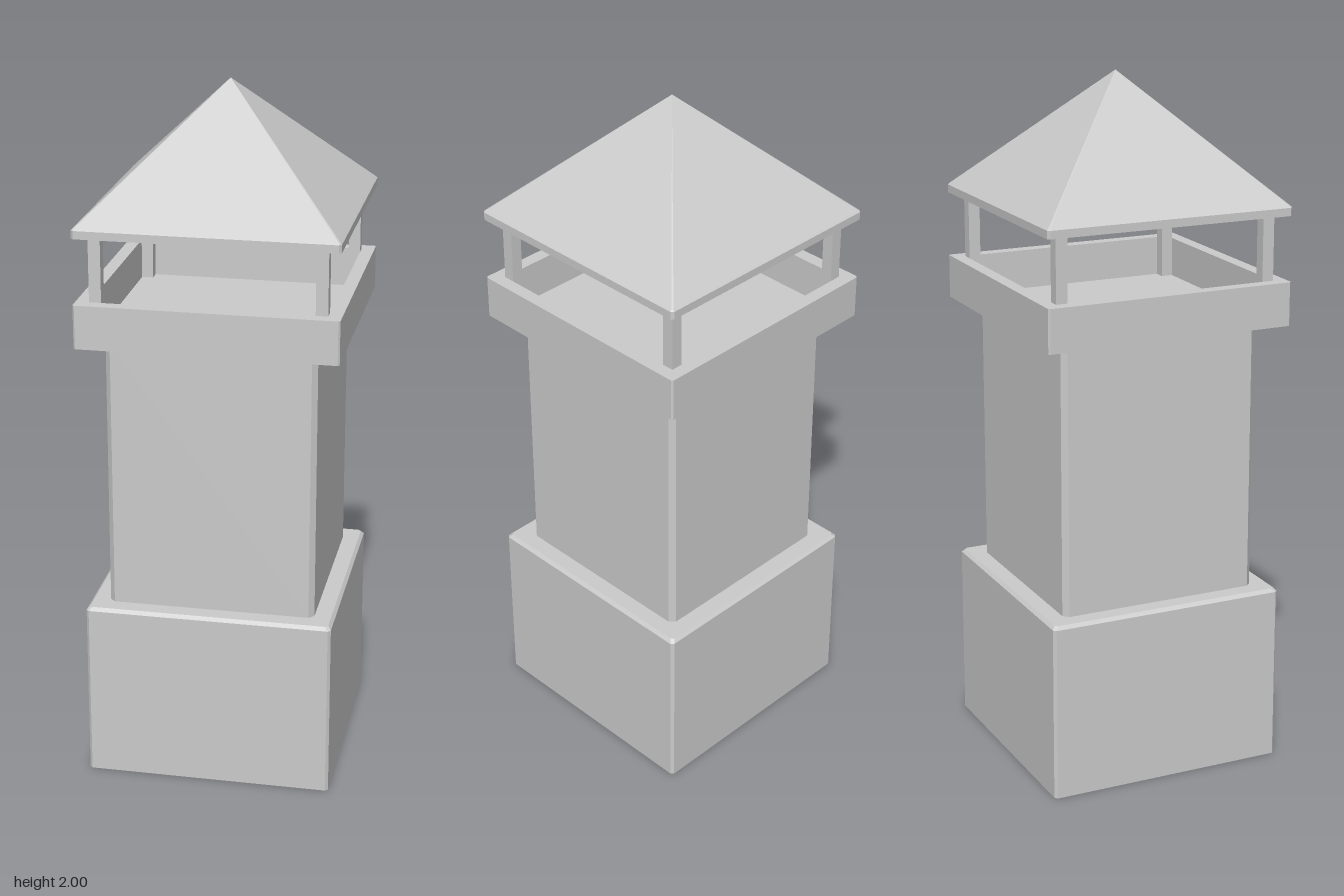
import * as THREE from 'three';

const material = new THREE.MeshStandardMaterial({ color: 0xcccccc, flatShading: true });

// Square ring with cut corners; half = 0 collapses to a point on the axis.
function ring([y, half, cut = 0]) {
  const k = half - cut;
  return [
    [half, -k], [half, k], [k, half], [-k, half],
    [-half, k], [-half, -k], [-k, -half], [k, -half],
  ].map(([x, z]) => new THREE.Vector3(x, y, z));
}

// Skin a stack of rings, skipping faces that have collapsed.
function loft(name, profile) {
  const rings = profile.map(ring);
  const points = [];
  const addTriangle = (a, b, c) => {
    if (new THREE.Triangle(a, b, c).getArea() > 1e-9) points.push(a, b, c);
  };
  for (let i = 0; i < rings.length - 1; i++) {
    for (let j = 0; j < 8; j++) {
      const n = (j + 1) % 8;
      const a = rings[i][j], b = rings[i][n], c = rings[i + 1][j], d = rings[i + 1][n];
      addTriangle(a, c, d);
      addTriangle(a, d, b);
    }
  }
  const geometry = new THREE.BufferGeometry().setFromPoints(points);
  geometry.computeVertexNormals();
  const mesh = new THREE.Mesh(geometry, material);
  mesh.name = name;
  return mesh;
}

export function createModel() {
  const model = new THREE.Group();
  model.name = 'chimney';

  // Wide plinth with a softened top edge
  model.add(loft('base', [
    [0, 0], [0, 0.355, 0.008], [0.512, 0.355, 0.008], [0.522, 0.346, 0.008], [0.522, 0],
  ]));

  // Narrower stack with chamfered corners
  model.add(loft('shaft', [
    [0.52, 0], [0.52, 0.298, 0.015], [1.312, 0.298, 0.015], [1.312, 0],
  ]));

  // Open tray with a thin raised rim
  model.add(loft('collar', [
    [1.31, 0], [1.31, 0.368, 0.005], [1.435, 0.368, 0.005],
    [1.435, 0.33], [1.32, 0.33], [1.32, 0],
  ]));

  // Four posts in the tray corners
  const posts = new THREE.Group();
  posts.name = 'posts';
  const postGeometry = new THREE.BoxGeometry(0.034, 0.306, 0.034);
  for (const x of [-1, 1]) {
    for (const z of [-1, 1]) {
      const post = new THREE.Mesh(postGeometry, material);
      post.name = 'post';
      post.position.set(x * 0.313, 1.472, z * 0.313);
      posts.add(post);
    }
  }
  model.add(posts);

  // Pyramid cap with a short vertical edge
  model.add(loft('roof', [
    [1.622, 0], [1.622, 0.368, 0.007], [1.645, 0.368, 0.007],
    [1.649, 0.364, 0.004], [2, 0],
  ]));

  return model;
}
